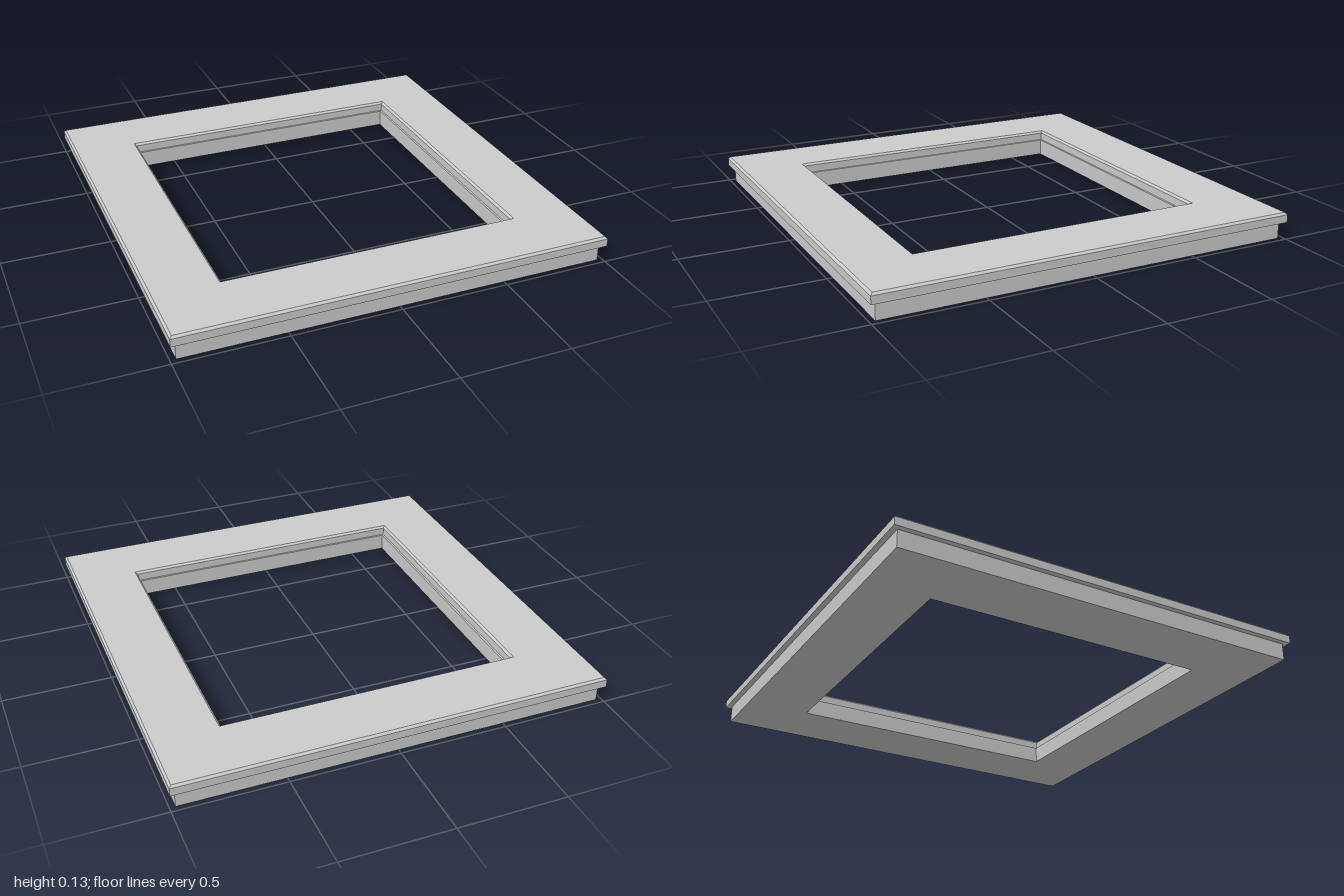
import * as THREE from 'three';

// Square ring: sweeps a closed [halfWidth, y] section around four mitred sides
function squareRing(name, section, material) {
  const points = [...section, section[0]].map(([r, y]) => new THREE.Vector2(r * Math.SQRT2, y));
  const geometry = new THREE.LatheGeometry(points, 4).rotateY(Math.PI / 4).toNonIndexed();
  geometry.computeVertexNormals();
  const mesh = new THREE.Mesh(geometry, material);
  mesh.name = name;
  return mesh;
}

export function createModel() {
  const group = new THREE.Group();
  group.name = 'squareFrame';
  const material = new THREE.MeshStandardMaterial({ color: 0xcccccc, flatShading: true });

  // Recessed lower ring, leaving a narrow ledge inside the opening
  group.add(squareRing('baseRing', [
    [0.68, 0], [0.975, 0], [0.975, 0.08], [0.68, 0.08],
  ], material));

  // Overhanging top slab with chamfered outer and inner edges
  group.add(squareRing('topSlab', [
    [0.69, 0.08], [1, 0.08], [1, 0.117], [0.99, 0.127], [0.7, 0.127], [0.69, 0.117],
  ], material));

  return group;
}
